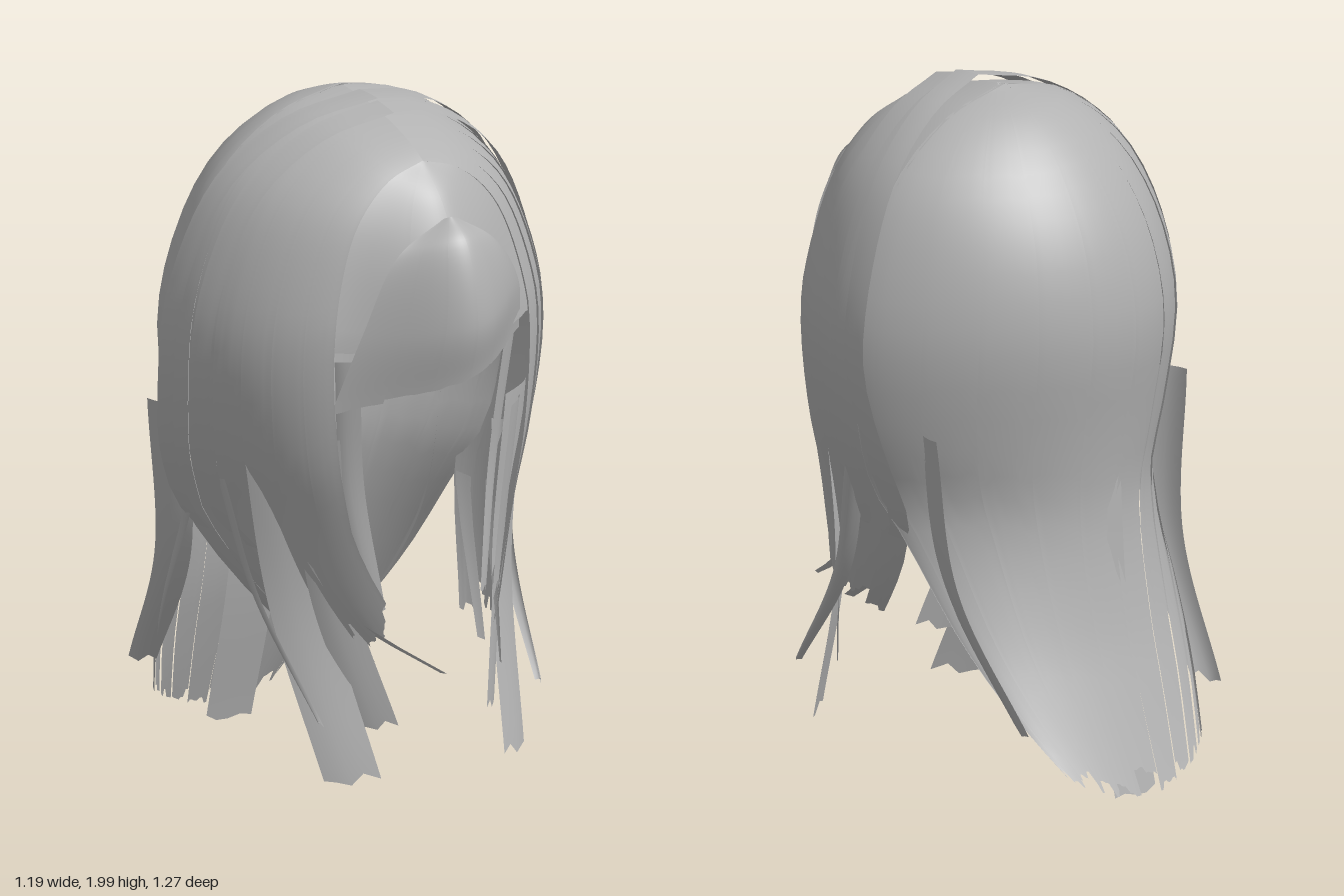
import * as THREE from 'three';

const hairGrey = new THREE.MeshStandardMaterial({ color: 0xb2b2b2, side: THREE.DoubleSide });
hairGrey.name = 'hairGrey';

const { smoothstep, lerp } = THREE.MathUtils;
const noise = (n) => { const s = Math.sin(n * 12.9898 + 4.1) * 43758.5453; return s - Math.floor(s); };
const curve = (...pts) => new THREE.CatmullRomCurve3(pts.map((p) => (p.isVector3 ? p : new THREE.Vector3(...p))));

// Head profile from crown to hem: half width, height, depth at the back
const profile = curve([0, 1.995, 0], [.22, 1.94, -.18], [.41, 1.8, -.335], [.52, 1.6, -.445], [.58, 1.35, -.485],
  [.55, 1.05, -.44], [.47, .8, -.415], [.42, .5, -.46], [.36, .28, -.53], [.25, .01, -.63]);

// Back surface: a rounded wedge at each height, its side edges sweeping backwards low down
function backPoint(u, v) {
  const p = profile.getPoint(v), a = (u - 0.5) * Math.PI;
  const edge = -0.02 - 0.62 * Math.max(0, 0.9 - p.y);
  return new THREE.Vector3(p.x * Math.sin(a), p.y + 0.09 * v ** 6 * Math.sin(a) ** 2,
    edge + (p.z - edge) * Math.max(0, Math.cos(a)) ** 1.45);
}

// Side surface: a = 0 at the ear, 1 at the face; it drifts back, then the ends flick forward and inward
function sidePoint(a, v, flick = 0.95, slant = 0) {
  const p = profile.getPoint(v * (0.808 - 0.055 * a ** 4)), t = a * 0.96;
  const sweep = flick * (Math.max(0, 0.85 - p.y) / 0.4) ** 1.5;
  const top = Math.max(0, (p.y - 1.4) / 0.6);
  return new THREE.Vector3(p.x * Math.cos(t) - 0.15 * sweep,
    p.y - 0.13 * Math.max(0, a) ** 1.5 * top,
    0.55 * Math.sin(t) - 0.03 - 0.04 * a * top - 0.1 * (1 - a) * (1 - smoothstep(p.y, 0.8, 1.35))
      + (0.33 - 0.2 * a) * sweep + slant * (1 - p.x / 0.58));
}

// Smooth grid over a point rule: u across, v down the hair
function loft(name, nu, nv, point) {
  const pos = [], index = [];
  for (let i = 0; i <= nu; i++) {
    for (let j = 0; j <= nv; j++) pos.push(...point(i / nu, j / nv).toArray());
  }
  for (let i = 0; i < nu; i++) {
    for (let j = 0; j < nv; j++) {
      const a = i * (nv + 1) + j, b = a + nv + 1;
      index.push(a, a + 1, b, b, a + 1, b + 1);
    }
  }
  const g = new THREE.BufferGeometry();
  g.setAttribute('position', new THREE.Float32BufferAttribute(pos, 3));
  g.setIndex(index);
  g.computeVertexNormals();
  const mesh = new THREE.Mesh(g, hairGrey);
  mesh.name = name;
  return mesh;
}

// A surface cut into overlapping strips with a ragged hem
function sheet(name, strips, jag, lift, point) {
  const group = new THREE.Group();
  group.name = name;
  for (let k = 0; k < strips; k++) {
    group.add(loft(name + 'Strip', 8, 28, (u, v) => {
      const cut = jag * (0.6 * noise(k + strips) + 0.4 * noise(k * 7 + Math.round(u * 4)));
      const p = point(Math.min(1, (k + u * 1.06) / strips), v * (1 - cut));
      const out = 1 + lift * u * Math.min(1, v * 4);
      return p.set(p.x * out, p.y, p.z * out);
    }));
  }
  return group;
}

// A point rule running through a few guide curves
const through = (...guides) => (u, v) => curve(...guides.map((g) => g.getPoint(v))).getPoint(u);

// A single ribbon: centre path, half-width vector, tip width
function lock(path, half, tip) {
  const c = curve(...path), w = new THREE.Vector3(...half);
  return (u, v) => {
    const s = u * 2 - 1;
    const p = c.getPoint(v * (1 - 0.04 * noise(Math.round(u * 4) + path[0][1] * 9)));
    p.addScaledVector(w, s * lerp(1, tip, v * v));
    p.x *= 1.03 - 0.03 * s * s;
    return p;
  };
}

export function createModel() {
  const model = new THREE.Group();
  model.name = 'longHair';

  // The same part on both sides
  const pair = (name, build, point) => {
    model.add(build('left' + name, point));
    model.add(build('right' + name, (u, v) => {
      const p = point(u, v);
      return p.setX(-p.x);
    }));
  };
  const ribbon = (name, point) => loft(name, 4, 28, point);

  // Back hair and side curtains
  model.add(sheet('backHair', 11, 0.05, 0.012, backPoint));
  pair('Curtain', (name, point) => sheet(name, 6, 0.06, 0.012, point), (a, v) => sidePoint(a, v));

  // Raised bands running from the parting down over the curtains
  const band = (from, width, flick, slant) => (u, v) => {
    const p = sidePoint(from + width * u * (1 - 0.4 * v), v, flick, slant);
    return p.set(p.x * 1.02, p.y + 0.006 * (1 - v), p.z * 1.02);
  };
  pair('RearBand', ribbon, band(-0.06, 0.18, 1.4, 0.13));
  pair('FrontBand', ribbon, band(0.2, 0.17, 1.9, 0.09));

  // Forehead hair joining both curtains above the fringe
  const brow = curve([0, 1.865, .38], [0, 1.76, .47], [0, 1.55, .55], [0, 1.33, .56]);
  model.add(sheet('foreheadHair', 4, 0.03, 0.004, (u, v) => {
    const edge = sidePoint(1, v * 0.59);
    return curve([-edge.x, edge.y, edge.z], brow.getPoint(v), edge).getPoint(u);
  }));

  // Fringe: fans out from one point, with a slanted hem
  model.add(sheet('fringe', 6, 0.03, 0.006, through(
    curve([-.02, 1.73, .51], [-.17, 1.64, .5], [-.27, 1.42, .47], [-.34, 1.18, .41]),
    curve([0, 1.735, .52], [0, 1.67, .59], [0, 1.44, .64], [0, 1.27, .6]),
    curve([.02, 1.73, .51], [.16, 1.64, .5], [.27, 1.49, .46], [.3, 1.33, .42]),
  )));

  // Separate hanging locks
  pair('LongFrontLock', ribbon, lock([[.42, 1.1, .24], [.35, .6, .27], [.275, .09, .44]], [.07, 0, -.05], 0.95));
  pair('InnerFrontLock', ribbon, lock([[.34, 1.1, .35], [.29, .65, .34], [.19, .24, .44]], [.045, 0, -.045], 0.95));
  pair('TempleLock', ribbon, lock([[.28, 1.33, .41], [.24, .95, .38], [.18, .58, .42]], [.03, 0, -.02], 0.6));
  pair('RearSideLock', ribbon, lock([[.47, 1.1, -.2], [.42, .65, -.24], [.36, .25, -.48]], [.025, 0, -.06], 0.7));
  pair('OuterSideLock', ribbon, lock([[.48, .95, .08], [.43, .62, .18], [.37, .28, .42]], [.01, 0, .03], 0.3));
  model.add(ribbon('napeLock', lock([[0, 1, -.4], [0, .5, -.44], [-.02, 0, -.54]], [.08, 0, .01], 0.9)));
  return model;
}
